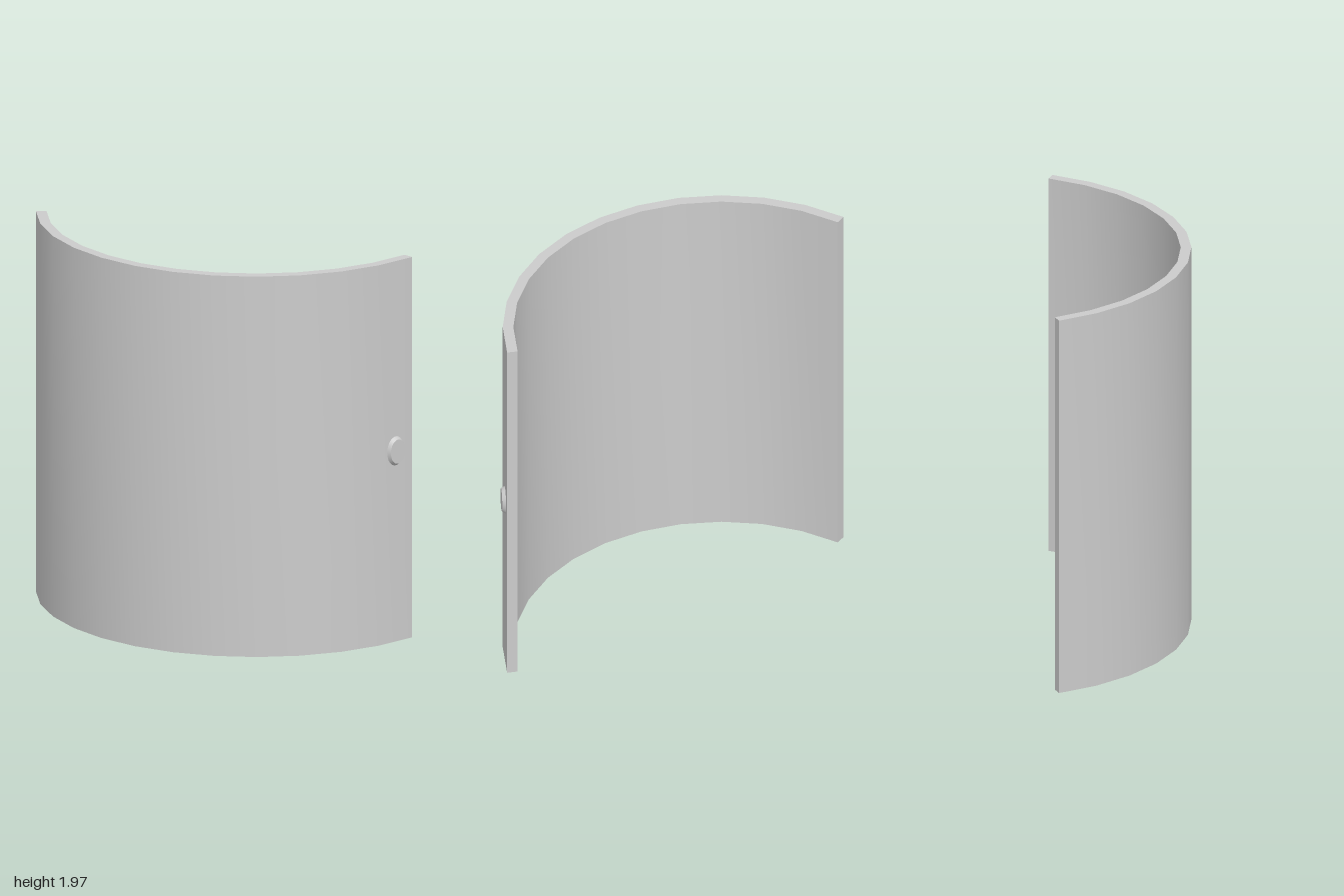
import * as THREE from 'three';
import { toCreasedNormals } from 'three/addons/utils/BufferGeometryUtils.js';

const HEIGHT = 1.965;
const OUTER = 1.0824;
const INNER = 1.03;
const CENTRE_Z = -0.738;
const SEGMENTS = 12;
const HALF_ANGLE = THREE.MathUtils.degToRad(67.5);

// Points along the arc, as (x, -z) so the extrusion can be stood upright
function arc(radius) {
  return Array.from({ length: SEGMENTS + 1 }, (_, i) => {
    const a = HALF_ANGLE * (2 * i / SEGMENTS - 1);
    return new THREE.Vector2(radius * Math.sin(a), -(CENTRE_Z + radius * Math.cos(a)));
  });
}

export function createModel() {
  const group = new THREE.Group();
  group.name = 'curvedDoor';
  const material = new THREE.MeshStandardMaterial({ color: 0xcccccc });

  // Curved panel
  const outline = new THREE.Shape([...arc(OUTER), ...arc(INNER).reverse()]);
  const panelGeometry = new THREE.ExtrudeGeometry(outline, { depth: HEIGHT, bevelEnabled: false });
  panelGeometry.rotateX(-Math.PI / 2);
  const panel = new THREE.Mesh(toCreasedNormals(panelGeometry, 0.5), material);
  panel.name = 'panel';
  group.add(panel);

  // Oval tapered knob, flat against the last facet on the left
  const depth = 0.018;
  const knobGeometry = new THREE.CylinderGeometry(0.062, 0.075, depth, 32);
  knobGeometry.rotateX(Math.PI / 2);
  knobGeometry.scale(0.73, 1, 1);
  const knob = new THREE.Mesh(knobGeometry, material);
  knob.name = 'knob';
  const angle = HALF_ANGLE * (1 - 1 / SEGMENTS);
  knob.rotation.y = angle;
  knob.position.set(0.95 + Math.sin(angle) * depth / 2, 0.985, -0.231 + Math.cos(angle) * depth / 2);
  group.add(knob);

  return group;
}
